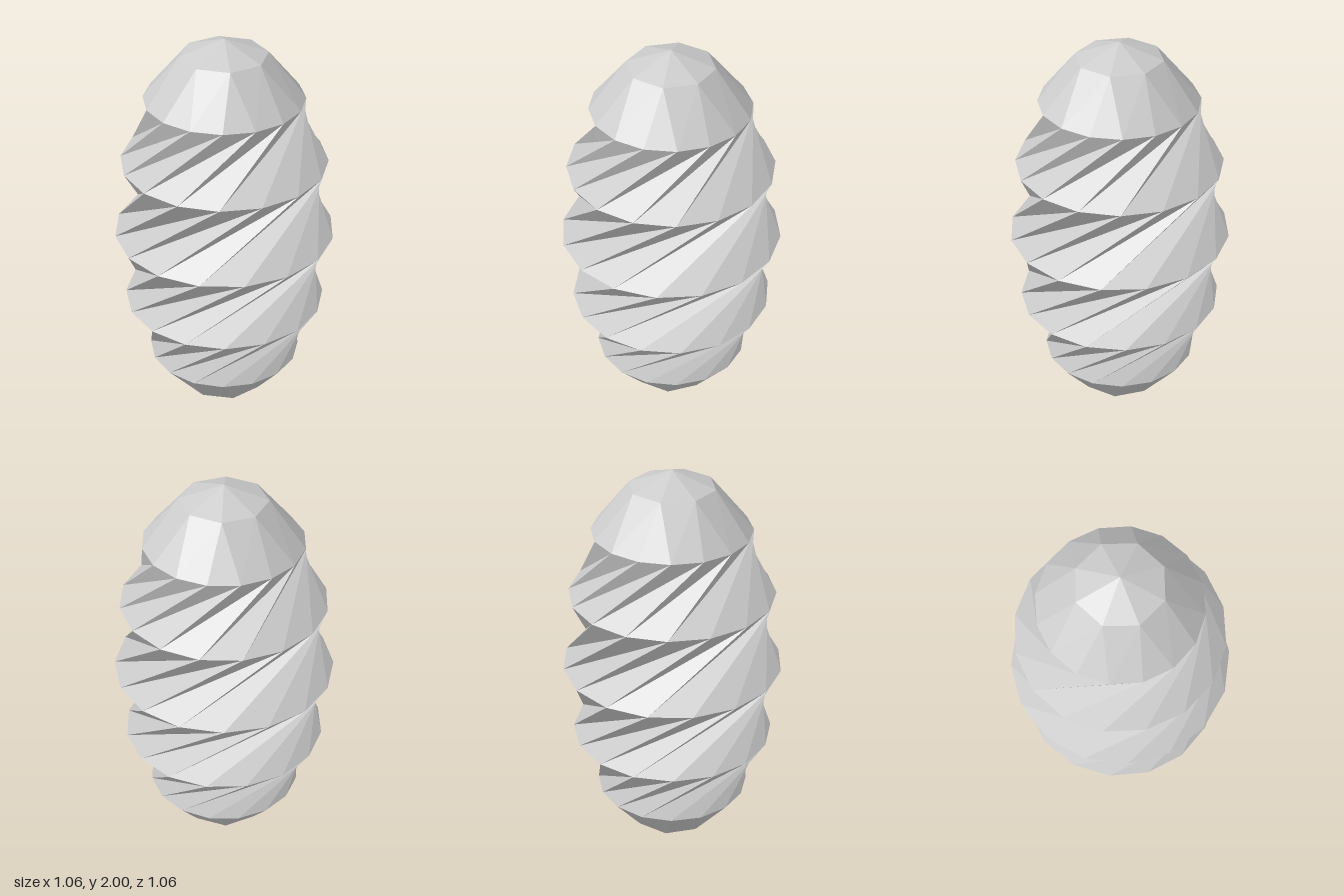
import * as THREE from 'three';

const SIDES = 16;
const RADIUS = 0.54;
const TWIST = 2.5; // radians turned per unit of height
const START = THREE.MathUtils.degToRad(10.5);
const material = new THREE.MeshStandardMaterial({ color: 0xcccccc, flatShading: true });

// A ring of points on the twisted ellipsoid, at a latitude in degrees
function ring(latitude, sides) {
  const lat = THREE.MathUtils.degToRad(latitude);
  const h = Math.sin(lat), r = RADIUS * Math.cos(lat);
  const points = [];
  for (let i = 0; i < sides; i++) {
    const a = START + TWIST * h + (i / sides) * Math.PI * 2;
    points.push(new THREE.Vector3(r * Math.cos(a), 1 + h, -r * Math.sin(a)));
  }
  return (i) => points[(i + sides) % sides];
}

function meshFrom(name, corners) {
  const geometry = new THREE.BufferGeometry().setFromPoints(corners);
  geometry.computeVertexNormals();
  const mesh = new THREE.Mesh(geometry, material);
  mesh.name = name;
  return mesh;
}

// One spiral-pleated band between two rings
function band(name, lowLat, highLat) {
  const low = ring(lowLat, SIDES), high = ring(highLat, SIDES);
  const corners = [];
  for (let i = 0; i < SIDES; i++) {
    corners.push(low(i), low(i + 1), high(i + 1));
    corners.push(low(i), high(i + 1), high(i));
  }
  return meshFrom(name, corners);
}

// Faceted dome: 16-sided rim, 8-sided inner ring, pointed tip (side: 1 top, -1 bottom)
function cap(name, side) {
  const rim = ring(45 * side, SIDES), inner = ring(67.5 * side, SIDES / 2);
  const tip = new THREE.Vector3(0, 1 + side, 0);
  const corners = [];
  const face = (a, b, c) => corners.push(...(side > 0 ? [a, b, c] : [a, c, b]));
  for (let j = 0; j < SIDES / 2; j++) {
    const c = 2 * j + side; // rim point nearest to inner point j
    face(rim(c - 1), rim(c), inner(j));
    face(rim(c), rim(c + 1), inner(j));
    face(rim(c + 1), inner(j + 1), inner(j));
    face(inner(j), inner(j + 1), tip);
  }
  return meshFrom(name, corners);
}

export function createModel() {
  const model = new THREE.Group();
  model.name = 'twistedEgg';
  for (let i = 0; i < 4; i++) {
    model.add(band(`twistedBand${i + 1}`, -45 + 22.5 * i, -22.5 + 22.5 * i));
  }
  model.add(cap('topCap', 1), cap('bottomCap', -1));
  return model;
}
